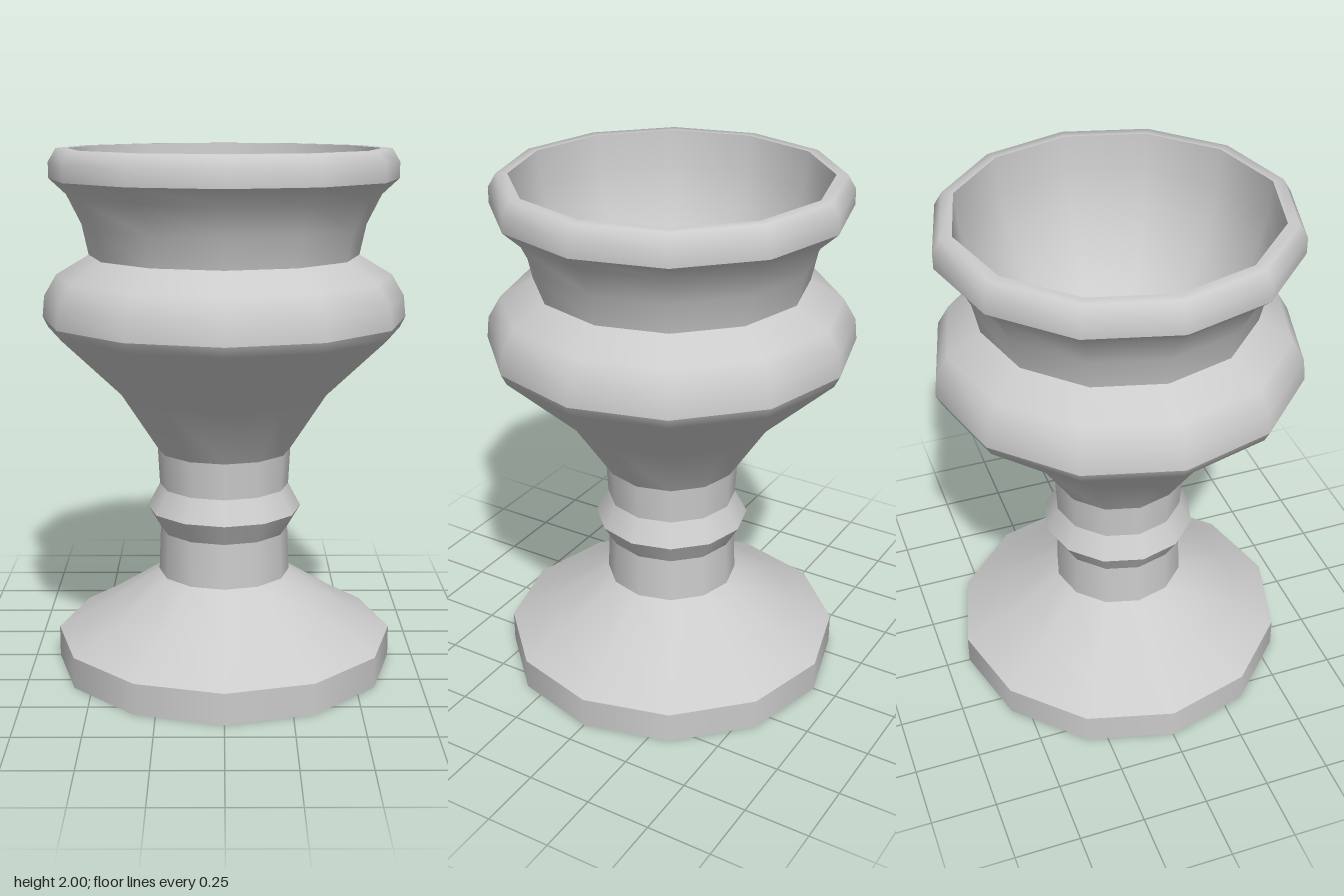
import * as THREE from 'three';

const SIDES = 12;

export function createModel() {
  const group = new THREE.Group();
  group.name = 'goblet';
  const material = new THREE.MeshStandardMaterial({ color: 0xcccccc, side: THREE.DoubleSide });

  // Each turned section is its own lathe, smooth inside and creased where it meets the next
  const turn = (name, profile) => {
    const points = profile.map(([r, y]) => new THREE.Vector2(r, y));
    const mesh = new THREE.Mesh(new THREE.LatheGeometry(points, SIDES), material);
    mesh.name = name;
    group.add(mesh);
  };

  // Hollow foot, open underneath
  turn('footRim', [[0.655, 0], [0.655, 0.12]]);
  turn('footSlope', [[0.655, 0.12], [0.5, 0.208], [0.255, 0.365]]);

  // Stem with a pointed ring
  turn('lowerStem', [[0.255, 0.365], [0.248, 0.54]]);
  turn('ringUnderside', [[0.248, 0.54], [0.298, 0.625]]);
  turn('ringTop', [[0.298, 0.625], [0.25, 0.715]]);
  turn('upperStem', [[0.25, 0.715], [0.257, 0.855]]);

  // Cup: flared body, rounded shoulder, waisted neck
  turn('cupBody', [[0.257, 0.855], [0.405, 1.08], [0.67, 1.33], [0.69, 1.37]]);
  turn('cupShoulder', [[0.69, 1.37], [0.682, 1.45], [0.635, 1.53], [0.51, 1.605]]);
  turn('cupNeck', [[0.51, 1.605], [0.535, 1.72], [0.59, 1.83], [0.655, 1.89]]);

  // Lip
  turn('lip', [[0.655, 1.89], [0.655, 1.95], [0.625, 2], [0.583, 2]]);

  // Rounded inside of the cup
  const bowl = [];
  for (let i = 0; i <= 8; i++) {
    const a = (i / 8) * Math.PI / 2;
    bowl.push([i === 8 ? 0 : 0.583 * Math.cos(a), 2 - 0.7 * Math.sin(a)]);
  }
  turn('bowlInterior', bowl);

  return group;
}
